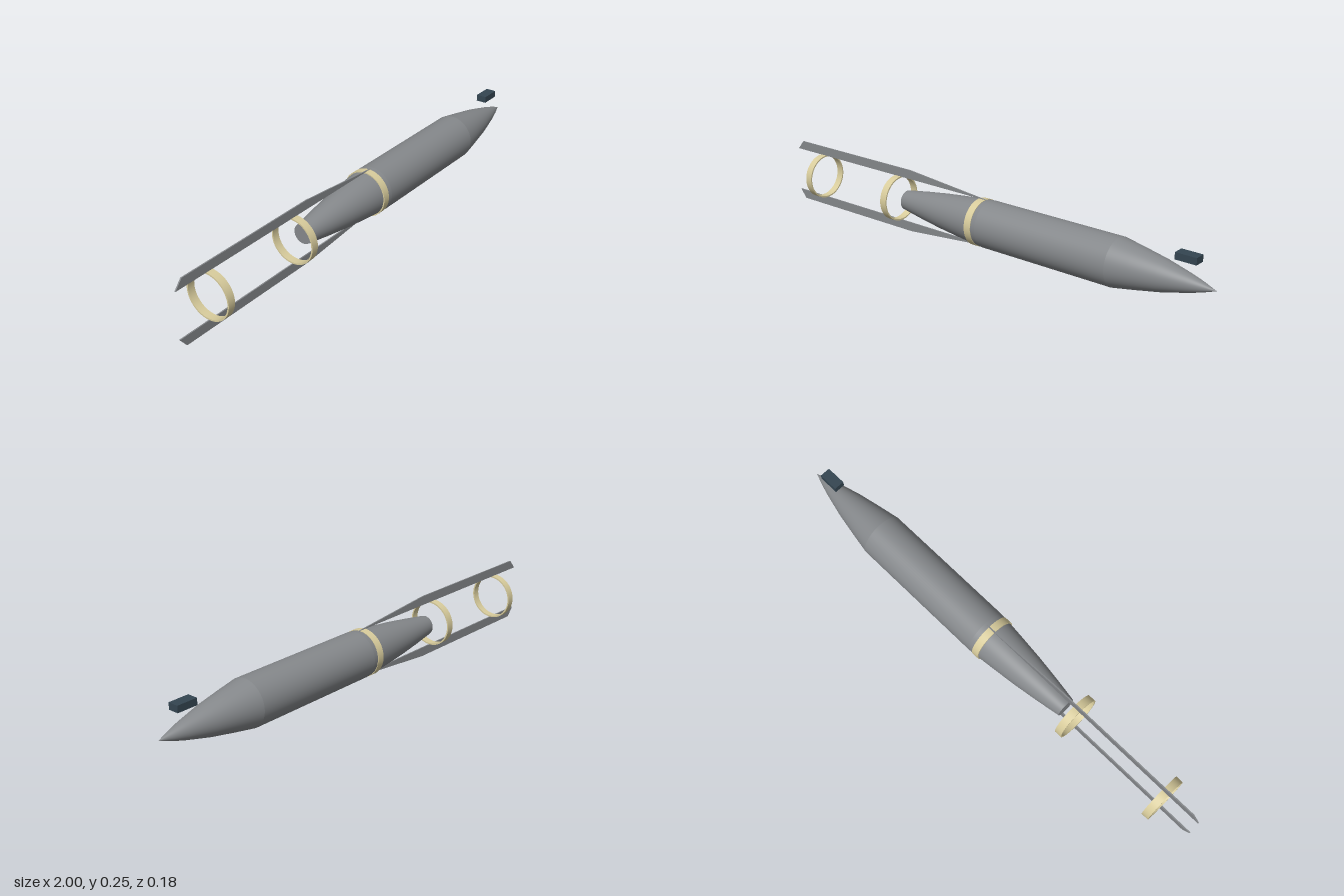
import * as THREE from 'three';

const AXIS_Y = 0.127, R = 0.091;

const bodyGrey = new THREE.MeshStandardMaterial({ color: 0x85888b });
bodyGrey.name = 'bodyGrey';
const bandCream = new THREE.MeshStandardMaterial({ color: 0xd8cc9c });
bandCream.name = 'bandCream';
const lugSlate = new THREE.MeshStandardMaterial({ color: 0x344551 });
lugSlate.name = 'lugSlate';

export function createModel() {
  const model = new THREE.Group();
  model.name = 'rocket';

  const add = (name, geometry, material, x = 0, y = 0, z = 0) => {
    const mesh = new THREE.Mesh(geometry, material);
    mesh.name = name;
    mesh.position.set(x, y, z);
    model.add(mesh);
    return mesh;
  };

  // Turned part along the x axis; profile is [radius, x] from rear to front
  const turned = (name, profile, material, x = 0) => {
    const points = profile.map(([r, px]) => new THREE.Vector2(r, px));
    const geometry = new THREE.LatheGeometry(points, 64).rotateZ(-Math.PI / 2);
    return add(name, geometry, material, x, AXIS_Y);
  };

  // Body sections, kept separate so the seams stay crisp
  turned('tailCap', [[0, -0.37], [0.039, -0.37]], bodyGrey);
  turned('tailCone', [[0.039, -0.37], [0.055, -0.27], [0.069, -0.17], [0.08, -0.07], [0.087, 0], [R, 0.05]], bodyGrey);
  turned('barrel', [[R, 0.05], [R, 0.62]], bodyGrey);
  turned('noseCone', [[R, 0.62], [0.077, 0.7], [0.058, 0.8], [0.033, 0.9], [0.018, 0.95], [0, 1]], bodyGrey);

  // Flat bands: one around the body, two carried between the fins
  const w = 0.015, ri = R - 0.005, ro = R + 0.0005;
  for (const [name, x] of [['bodyBand', 0.015], ['middleBand', -0.417], ['rearBand', -0.847]]) {
    turned(name + 'Outside', [[ro, -w], [ro, w]], bandCream, x);
    turned(name + 'Inside', [[ri, w], [ri, -w]], bandCream, x);
    turned(name + 'RearEdge', [[ri, -w], [ro, -w]], bandCream, x);
    turned(name + 'FrontEdge', [[ro, w], [ri, w]], bandCream, x);
  }

  // Long fins above and below
  const finShape = new THREE.Shape([[-1, R], [0.04, R], [-0.35, 0.127], [-0.97, 0.127]].map(([x, y]) => new THREE.Vector2(x, y)));
  const finGeometry = new THREE.ExtrudeGeometry(finShape, { depth: 0.005, bevelEnabled: false }).translate(0, 0, -0.0025);
  add('topFin', finGeometry, bodyGrey, 0, AXIS_Y);
  add('bottomFin', finGeometry, bodyGrey, 0, AXIS_Y).rotation.x = Math.PI;

  // Small block floating above the nose
  add('noseLug', new THREE.BoxGeometry(0.082, 0.026, 0.042), lugSlate, 0.89, 0.218);

  return model;
}
